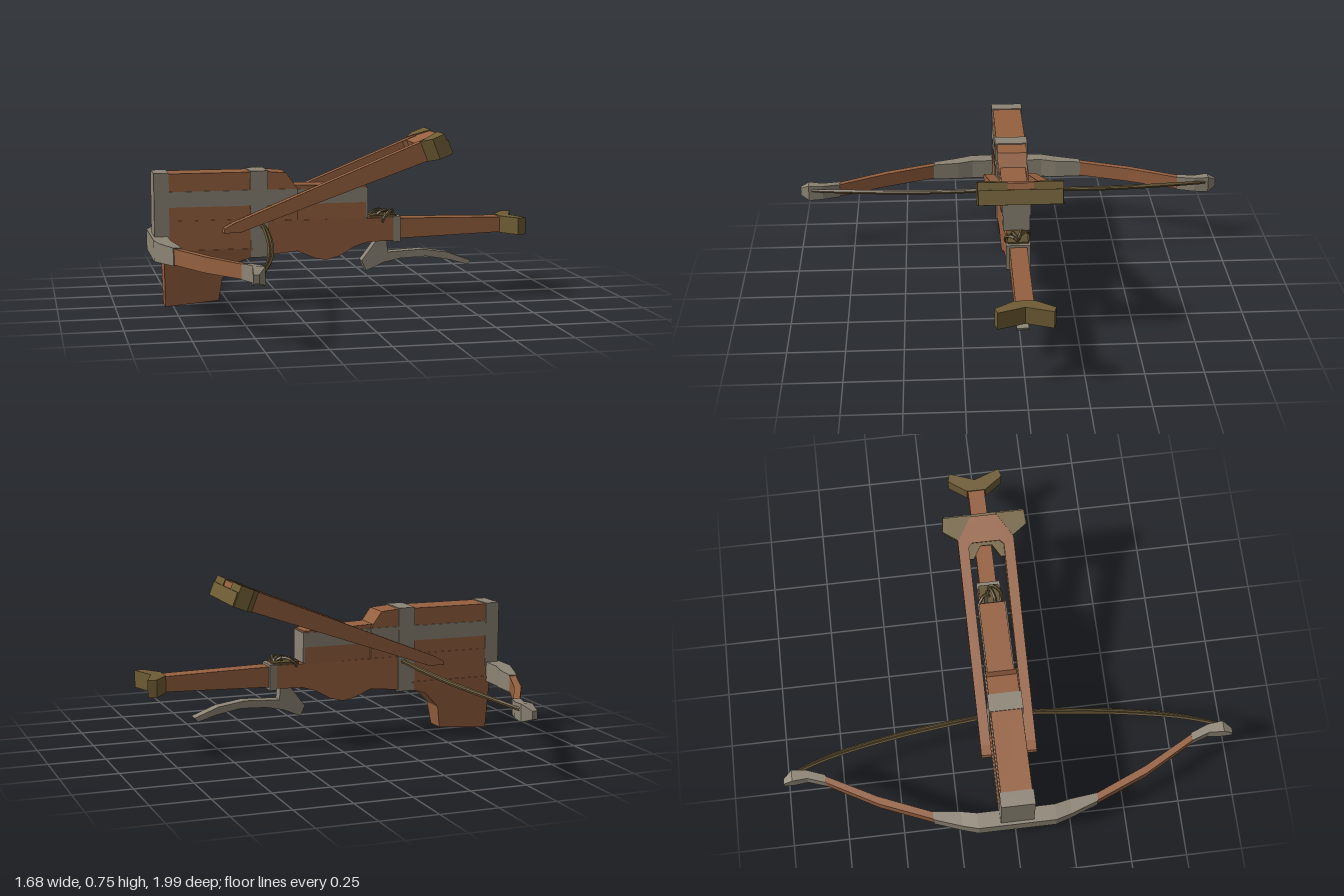
import * as THREE from 'three';

const mat = (name, color, side = THREE.FrontSide) => {
  const m = new THREE.MeshStandardMaterial({ color, flatShading: true, side });
  m.name = name;
  return m;
};

export function createModel() {
  const root = new THREE.Group();
  root.name = 'repeatingCrossbow';
  const wood = mat('brownWood', 0x95603f);
  const metal = mat('dullMetal', 0x8c8474);
  const olive = mat('oliveLeather', 0x6e5c34);
  const cord = mat('bowCord', 0x5f5030);

  const add = (name, geo, m, parent = root) => {
    const mesh = new THREE.Mesh(geo, m);
    mesh.name = name;
    parent.add(mesh);
    return mesh;
  };
  const shapeOf = pts => new THREE.Shape(pts.map(p => new THREE.Vector2(p[0], p[1])));
  const extrude = (pts, depth) => new THREE.ExtrudeGeometry(shapeOf(pts), { depth, bevelEnabled: false });

  // Side outline (x, y) given a width from z0 to z1
  const slab = (pts, z0, z1) => extrude(pts, z1 - z0).translate(0, 0, z0);
  // Top outline (x, z) given a height from y0 to y1
  const plan = (pts, y0, y1) => extrude(pts, y1 - y0).rotateX(Math.PI / 2).translate(0, y1, 0);
  // Side outline whose half width follows a rule
  const tapered = (pts, halfWidth) => {
    const g = slab(pts, -1, 1), p = g.attributes.position;
    for (let i = 0; i < p.count; i++) p.setZ(i, p.getZ(i) * halfWidth(p.getX(i), p.getY(i)));
    g.computeVertexNormals();
    return g;
  };
  const box = (x0, x1, y0, y1, z0, z1) =>
    new THREE.BoxGeometry(x1 - x0, y1 - y0, z1 - z0).translate((x0 + x1) / 2, (y0 + y1) / 2, (z0 + z1) / 2);

  // Rectangular sections [x, y, z, width, height] joined in order of rising z
  const loft = secs => {
    const pos = [];
    const rings = secs.map(([x, y, z, w, h]) =>
      [[-1, -1], [1, -1], [1, 1], [-1, 1]].map(([a, b]) => [x + a * w / 2, y + b * h / 2, z]));
    const quad = (a, b, c, d) => pos.push(...a, ...b, ...c, ...a, ...c, ...d);
    for (let i = 0; i < rings.length - 1; i++) {
      const r = rings[i], s = rings[i + 1];
      for (let k = 0; k < 4; k++) quad(r[k], r[(k + 1) % 4], s[(k + 1) % 4], s[k]);
    }
    const f = rings[0], l = rings[rings.length - 1];
    quad(f[3], f[2], f[1], f[0]);
    quad(l[0], l[1], l[2], l[3]);
    const g = new THREE.BufferGeometry();
    g.setAttribute('position', new THREE.Float32BufferAttribute(pos, 3));
    g.computeVertexNormals();
    return g;
  };
  const sided = (secs, s) => {
    const out = secs.map(([x, y, z, w, h]) => [x, y, z * s, w, h]);
    return s < 0 ? out.reverse() : out;
  };

  // Front grip, narrowing downwards
  add('frontGrip', tapered([[-0.785, 0], [-0.55, 0.02], [-0.535, 0.12], [-0.47, 0.19], [-0.4, 0.213],
    [-0.4, 0.25], [-0.79, 0.25]], (x, y) => 0.045 + 0.12 * y), wood);
  add('frontBlock', box(-0.79, -0.4, 0.25, 0.38, -0.07, 0.07), wood);

  // Stock, rear handle and butt
  add('stock', tapered([[-0.4, 0.213], [-0.2, 0.23], [-0.12, 0.195], [-0.07, 0.185], [-0.01, 0.2],
    [0.06, 0.24], [0.12, 0.258], [0.26, 0.262], [0.26, 0.365], [-0.4, 0.37]],
  x => 0.07 - (x + 0.4) * 0.033), wood);
  add('rearHandle', slab([[0.26, 0.268], [0.76, 0.283], [0.76, 0.35], [0.26, 0.36]], -0.038, 0.038), wood);
  add('butt', plan([[0.74, -0.043], [0.8, -0.125], [0.838, -0.115], [0.795, 0], [0.838, 0.115],
    [0.8, 0.125], [0.74, 0.043]], 0.28, 0.356), olive);

  // Bolt magazine with its lower rear half
  add('magazine', slab([[-0.825, 0.37], [-0.2, 0.37], [-0.2, 0.51], [-0.25, 0.58], [-0.33, 0.587],
    [-0.825, 0.587]], -0.067, 0.067), wood);
  add('magazineRear', slab([[-0.22, 0.365], [0.115, 0.365], [0.115, 0.512], [-0.22, 0.525]], -0.058, 0.058), wood);
  add('magazineRearPlate', box(0.112, 0.12, 0.37, 0.505, -0.059, 0.059), metal);

  // Metal bands
  add('frontBand', box(-0.83, -0.765, 0.3, 0.591, -0.073, 0.073), metal);
  add('middleBand', box(-0.41, -0.332, 0.21, 0.592, -0.074, 0.074), metal);
  add('stockStrap', box(0.24, 0.272, 0.255, 0.37, -0.053, 0.053), metal);
  for (const s of [-1, 1]) {
    const name = s > 0 ? 'Front' : 'Back';
    add('sideBand' + name, box(-0.83, -0.2, 0.44, 0.508, s * 0.068 - 0.004, s * 0.068 + 0.004), metal);
    add('rearSideBand' + name, box(-0.21, 0.12, 0.44, 0.505, s * 0.059 - 0.004, s * 0.059 + 0.004), metal);
  }

  // Bow: metal centre, wooden limbs, hooked metal tips
  const half = [[-0.808, 0.27, 0.17, 0.07, 0.09], [-0.79, 0.27, 0.24, 0.065, 0.082], [-0.762, 0.273, 0.36, 0.036, 0.076]];
  add('bowCentre', loft([...sided(half, -1), ...half]), metal);
  for (const s of [-1, 1]) {
    const name = s > 0 ? 'Front' : 'Back';
    add('bowLimb' + name, loft(sided([[-0.762, 0.273, 0.355, 0.032, 0.068], [-0.665, 0.277, 0.59, 0.034, 0.066],
      [-0.54, 0.283, 0.82, 0.03, 0.06]], s)), wood);
    add('bowTip' + name, loft(sided([[-0.543, 0.283, 0.81, 0.036, 0.064], [-0.515, 0.287, 0.89, 0.038, 0.068],
      [-0.515, 0.289, 0.955, 0.05, 0.075], [-0.532, 0.285, 0.995, 0.022, 0.035]], s)), metal);
  }

  // Two cords of the bowstring
  for (const off of [0, 0.02]) {
    const side = [[-0.495, 0.3, 0.94], [-0.45 + off * 0.4, 0.315, 0.78], [-0.4 + off * 0.6, 0.328, 0.5],
      [-0.372 + off * 0.6, 0.34, 0.25], [-0.36 + off * 0.4, 0.348, 0.1]];
    const pts = [...side, ...side.slice().reverse().map(([x, y, z]) => [x, y, -z])];
    const curve = new THREE.CatmullRomCurve3(pts.map(p => new THREE.Vector3(...p)));
    add('bowstring', new THREE.TubeGeometry(curve, 40, 0.008, 5), cord);
  }

  // Cocking lever: two arms joined by a cross handle
  const arm = [[-0.535, 0.328], [-0.46, 0.33], [0.41, 0.635], [0.375, 0.72], [-0.49, 0.37], [-0.53, 0.348]];
  add('leverArmFront', slab(arm, 0.077, 0.122), wood);
  add('leverArmBack', slab(arm, -0.122, -0.077), wood);
  const lever = new THREE.Group();
  lever.name = 'leverHandle';
  lever.position.set(0.4, 0.679, 0);
  lever.rotation.z = 0.37;
  root.add(lever);
  add('leverBridge', plan([[-0.1, -0.1], [-0.06, -0.06], [-0.06, 0.06], [-0.1, 0.1], [0.0, 0.12], [0.055, 0.06],
    [0.055, -0.06], [0.0, -0.12]], -0.042, 0.045), wood, lever);
  add('leverInnerLining', plan([[-0.13, -0.077], [-0.13, -0.06], [-0.075, -0.025], [-0.075, 0.025],
    [-0.13, 0.06], [-0.13, 0.077], [-0.05, 0.077], [-0.05, -0.077]], -0.038, 0.015), olive, lever);
  for (const s of [-1, 1]) {
    add('handleEnd', plan([[-0.045, 0.118 * s], [0.0, 0.183 * s], [0.06, 0.178 * s], [0.06, 0.055 * s]],
      -0.046, 0.05), olive, lever);
  }
  add('handleBackPlate', plan([[0.045, -0.175], [0.066, -0.175], [0.066, 0.175], [0.045, 0.175]],
    -0.045, 0.018), olive, lever);

  // Trigger lever below the stock
  add('trigger', slab([[0.1, 0.17], [0.12, 0.123], [0.2, 0.158], [0.28, 0.175], [0.4, 0.18], [0.51, 0.16],
    [0.595, 0.135], [0.61, 0.153], [0.5, 0.195], [0.38, 0.213], [0.22, 0.205], [0.215, 0.262], [0.17, 0.262]],
  -0.026, 0.026), metal);

  // Cord knot on the stock behind the magazine
  for (let i = 0; i < 4; i++) {
    const loop = add('cordLoop', new THREE.TorusGeometry(0.038, 0.008, 5, 12), cord);
    loop.position.set(0.175 + i * 0.014, 0.368, (i - 1.5) * 0.018);
    loop.rotation.set(0.5 * (i - 1.5), 0.5 * i - 0.7, 0);
    loop.scale.y = 0.75;
  }
  add('cordWrap', box(0.135, 0.255, 0.355, 0.377, -0.045, 0.045), cord);

  return root;
}
